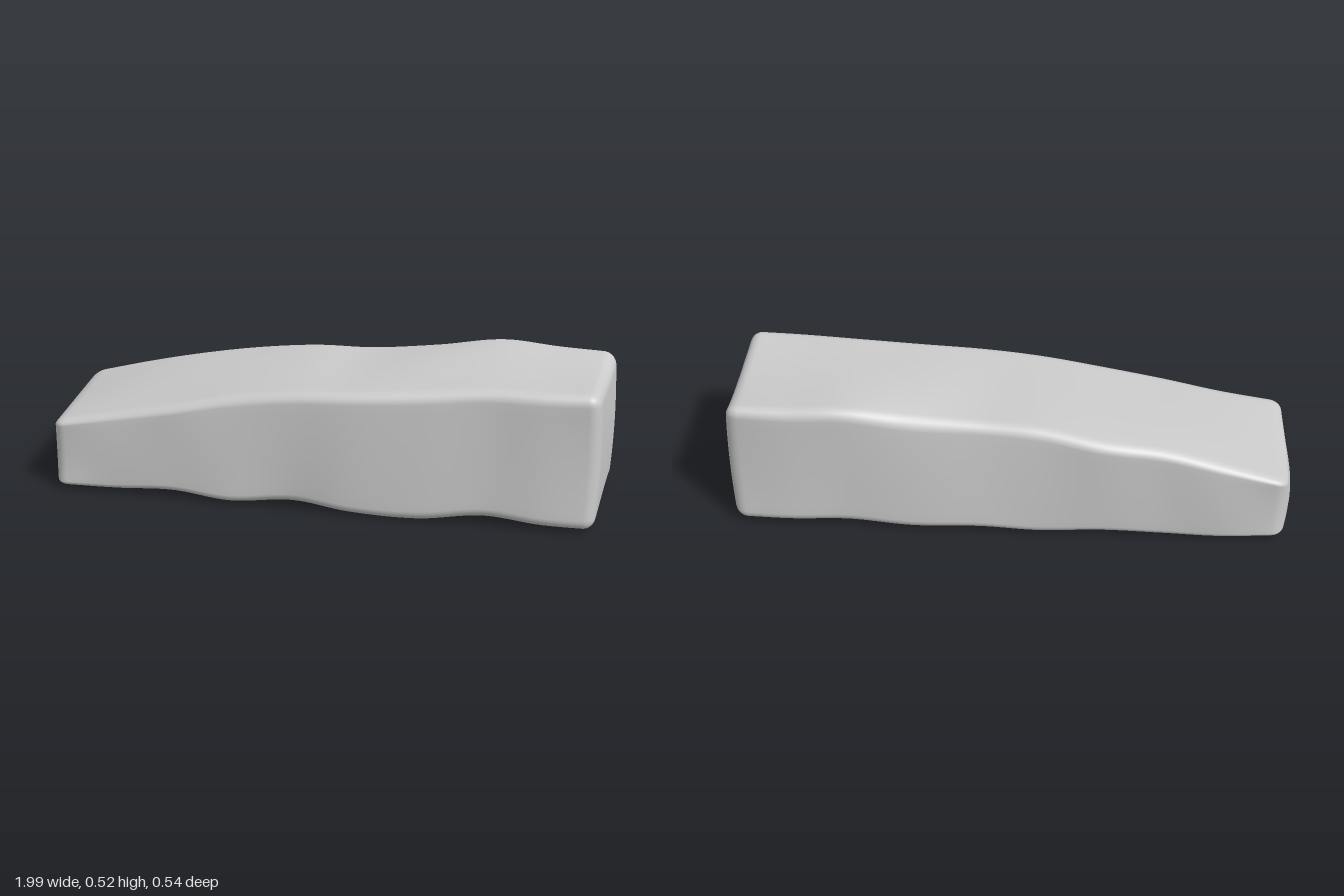
import * as THREE from 'three';
import { mergeVertices } from 'three/addons/utils/BufferGeometryUtils.js';

// Stations along the stone, and its uneven edges at each of them
const stations = [-0.97, -0.75, -0.54, -0.33, -0.1, 0.1, 0.35, 0.58, 0.78, 0.97];
const curve = (...values) => {
  const spline = new THREE.CubicInterpolant(stations, values, 1);
  return (x) => spline.evaluate(THREE.MathUtils.clamp(x, -0.97, 0.97))[0];
};

// Heights of the long edges
const topFront = curve(0.272, 0.315, 0.36, 0.41, 0.447, 0.465, 0.485, 0.508, 0.515, 0.522);
const topBack = curve(0.28, 0.338, 0.388, 0.422, 0.46, 0.47, 0.488, 0.528, 0.518, 0.518);
const topSwell = curve(-0.008, 0.005, 0.008, 0.008, 0.002, 0, 0.018, 0, -0.005, -0.018);
const bottomFront = curve(0.018, 0.018, 0.03, 0.012, 0.03, 0.01, 0.006, 0.035, 0.02, 0.015);
const bottomBack = curve(0.025, 0.015, 0.01, 0.018, 0.008, 0.02, 0.012, 0.025, 0.022, 0.015);
const bottomSwell = curve(0.012, 0, -0.002, 0, 0, 0.005, 0, 0.002, 0.005, 0.014);

// Depths of the long edges
const frontTop = curve(0.255, 0.247, 0.252, 0.243, 0.25, 0.258, 0.25, 0.238, 0.247, 0.248);
const frontBottom = curve(0.258, 0.248, 0.25, 0.262, 0.248, 0.264, 0.262, 0.25, 0.256, 0.247);
const backTop = curve(-0.263, -0.262, -0.258, -0.27, -0.245, -0.234, -0.25, -0.264, -0.26, -0.25);
const backBottom = curve(-0.255, -0.26, -0.25, -0.255, -0.26, -0.264, -0.262, -0.255, -0.262, -0.25);
const sideSwell = curve(-0.01, 0.004, 0, 0.003, 0.006, 0.003, 0.002, 0, -0.002, -0.012);

// Box with rounded edges and an evenly divided surface
function roundedGrid(half, radius, counts, bevel = 4) {
  const geometry = new THREE.BoxGeometry(2, 2, 2, ...counts);
  geometry.deleteAttribute('uv');
  geometry.deleteAttribute('normal');
  const pos = geometry.attributes.position;
  const p = new THREE.Vector3(), core = new THREE.Vector3();
  const spread = (value, h, n) => {
    const i = Math.round(((value + 1) / 2) * n);
    if (i <= bevel) return -h + (radius * i) / bevel;
    if (i >= n - bevel) return h - (radius * (n - i)) / bevel;
    return THREE.MathUtils.lerp(-h + radius, h - radius, (i - bevel) / (n - 2 * bevel));
  };
  for (let i = 0; i < pos.count; i++) {
    p.fromBufferAttribute(pos, i);
    p.set(spread(p.x, half.x, counts[0]), spread(p.y, half.y, counts[1]), spread(p.z, half.z, counts[2]));
    core.set(...['x', 'y', 'z'].map((k) => THREE.MathUtils.clamp(p[k], radius - half[k], half[k] - radius)));
    p.sub(core).setLength(radius).add(core);
    pos.setXYZ(i, p.x, p.y, p.z);
  }
  return mergeVertices(geometry, 1e-5);
}

export function createModel() {
  const half = new THREE.Vector3(0.975, 0.25, 0.25);
  const geometry = roundedGrid(half, 0.042, [72, 20, 20]);
  const pos = geometry.attributes.position;
  const { lerp } = THREE.MathUtils;

  // Bend the box to the tapering, worn outline
  for (let i = 0; i < pos.count; i++) {
    const x = pos.getX(i);
    const b = pos.getY(i) / half.y, c = pos.getZ(i) / half.z;
    const v = (b + 1) / 2, w = (c + 1) / 2;
    const midY = Math.max(0, 1 - b * b), midZ = Math.max(0, 1 - (c + 0.3 * (1 - c * c)) ** 2);
    const top = lerp(topBack(x), topFront(x), w) + topSwell(x) * midZ;
    const bottom = lerp(bottomBack(x), bottomFront(x), w) + bottomSwell(x) * midZ;
    const swell = sideSwell(x) * midY;
    const front = lerp(frontBottom(x), frontTop(x), v) + swell;
    const back = lerp(backBottom(x), backTop(x), v) - swell;
    // Ends: pointed swell on the low end, slight skew on the high end
    const low = Math.max(0, -x / half.x) ** 8, high = Math.max(0, x / half.x) ** 8;
    const shift = -0.024 * midY * midZ * low + (0.01 * midY - 0.012 * c) * high;
    pos.setXYZ(i, x + shift, lerp(bottom, top, v), lerp(back, front, w));
  }
  geometry.computeVertexNormals();

  // Centre and rest on the ground
  geometry.computeBoundingBox();
  const box = geometry.boundingBox, centre = box.getCenter(new THREE.Vector3());
  geometry.translate(-centre.x, -box.min.y, -centre.z);

  const stone = new THREE.Mesh(geometry, new THREE.MeshStandardMaterial({ color: 0xcccccc }));
  stone.name = 'stoneBlock';
  const group = new THREE.Group();
  group.name = 'taperedStone';
  group.add(stone);
  return group;
}
